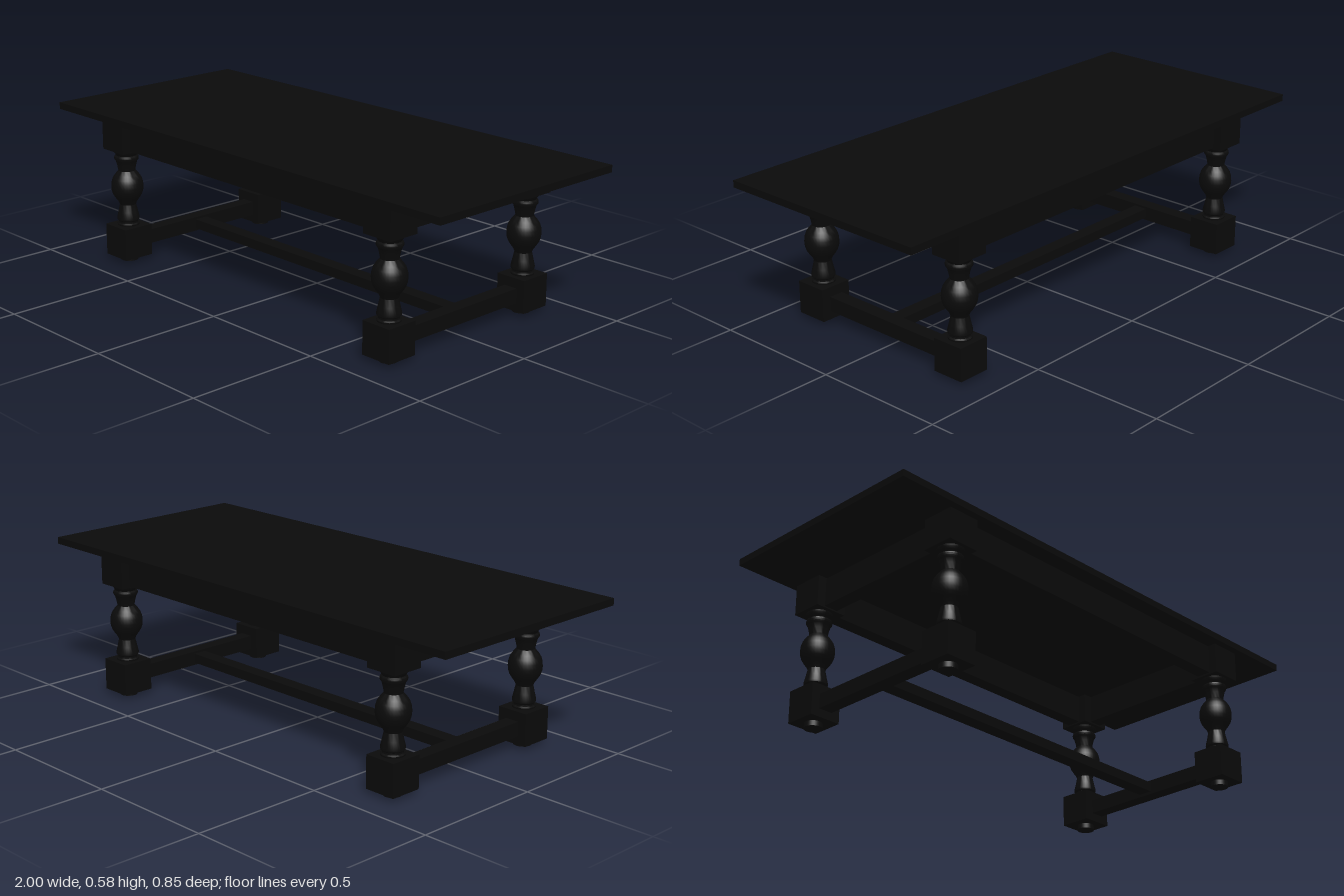
import * as THREE from 'three';
import { toCreasedNormals } from 'three/addons/utils/BufferGeometryUtils.js';

const LEG_X = 0.702, LEG_Z = 0.336, BLOCK = 0.123;

export function createModel() {
  const table = new THREE.Group();
  table.name = 'table';
  const wood = new THREE.MeshStandardMaterial({ color: 0x0a0a0a });

  const add = (parent, name, geometry, x, y, z) => {
    const mesh = new THREE.Mesh(geometry, wood);
    mesh.name = name;
    mesh.position.set(x, y, z);
    parent.add(mesh);
  };
  // Box given by its bottom and top heights
  const box = (parent, name, w, y0, y1, d, x = 0, z = 0) =>
    add(parent, name, new THREE.BoxGeometry(w, y1 - y0, d), x, (y0 + y1) / 2, z);

  box(table, 'tableTop', 2, 0.557, 0.583, 0.85);

  // Turned leg profile: collar, flare, bulb, neck, collar
  const profile = [
    [0, 0.138], [0.041, 0.138], [0.042, 0.147], [0.036, 0.151], [0.036, 0.157],
    [0.042, 0.163], [0.043, 0.17], [0.037, 0.195], [0.031, 0.223], [0.036, 0.235],
    [0.047, 0.25], [0.055, 0.263], [0.06, 0.278], [0.0615, 0.293], [0.06, 0.311],
    [0.055, 0.327], [0.046, 0.341], [0.032, 0.357], [0.036, 0.378], [0.041, 0.396],
    [0.046, 0.402], [0.047, 0.408], [0.045, 0.414], [0.039, 0.418], [0.043, 0.425],
    [0.048, 0.432], [0.049, 0.442], [0, 0.442],
  ].map(([r, y]) => new THREE.Vector2(r, y));
  const turning = toCreasedNormals(new THREE.LatheGeometry(profile, 32), 0.6);
  const foot = new THREE.CylinderGeometry(0.033, 0.033, 0.02, 32);

  for (const sx of [-1, 1]) {
    for (const sz of [-1, 1]) {
      const leg = new THREE.Group();
      leg.name = (sz > 0 ? 'front' : 'back') + (sx > 0 ? 'Left' : 'Right') + 'Leg';
      leg.position.set(sx * LEG_X, 0, sz * LEG_Z);
      add(leg, 'foot', foot, 0, 0.01, 0);
      box(leg, 'lowerBlock', BLOCK, 0.019, 0.141, BLOCK);
      add(leg, 'turnedShaft', turning, 0, 0, 0);
      box(leg, 'upperBlock', BLOCK, 0.44, 0.557, BLOCK);
      table.add(leg);
    }
    // End rails between the blocks
    const side = sx > 0 ? 'left' : 'right';
    const span = 2 * LEG_Z - BLOCK;
    box(table, side + 'Apron', 0.055, 0.446, 0.555, span, sx * LEG_X);
    box(table, side + 'Stretcher', 0.055, 0.05, 0.105, span, sx * LEG_X);
    // Long aprons, front and back
    box(table, sx > 0 ? 'frontApron' : 'backApron',
      2 * LEG_X - BLOCK, 0.446, 0.557, 0.055, 0, sx * LEG_Z);
  }

  // Long stretcher joining the end stretchers
  box(table, 'centreStretcher', 2 * LEG_X - 0.055, 0.06, 0.097, 0.055);

  return table;
}
